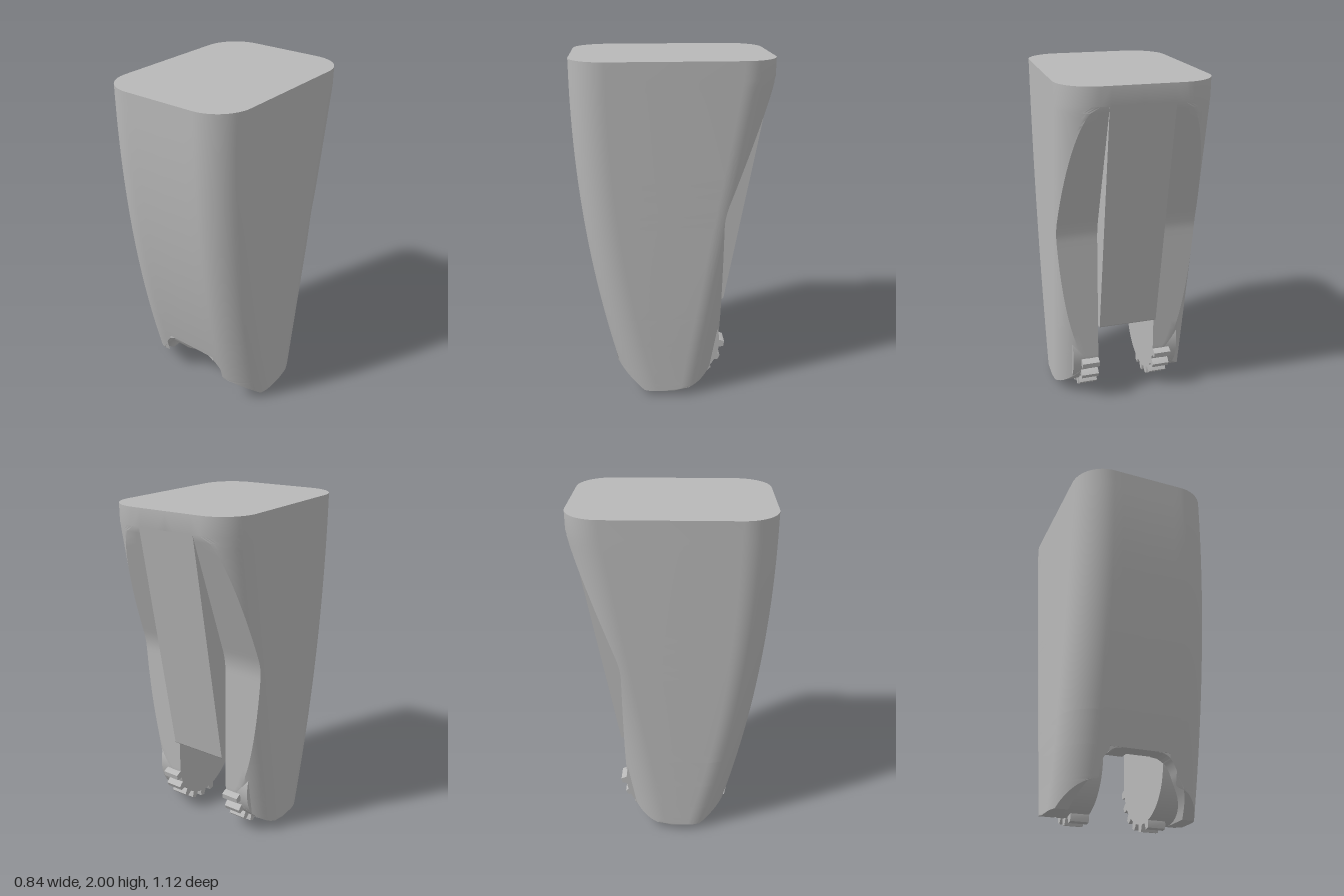
import * as THREE from 'three';
import { mergeGeometries, toCreasedNormals } from 'three/addons/utils/BufferGeometryUtils.js';

const R = 0.2, HALF = 0.42, SLOT = 0.175; // corner radius, half width, half slot
const AXLE = 0.315, WHEEL = 0.28;         // wheel centre height and radius

// Side profile: bowed front, chamfered toe, sloping back and the cut beside the rib
const frontZ = y => 0.56 - 0.075 * Math.max(0, 1.9 - y) ** 2;
const toeZ = y => 0.18 + (y - 0.035) * 1.15;
const backZ = y => -0.56 + 0.174 * Math.max(0, 1.9 - y);
const wheelZ = y => Math.sqrt(Math.max(0, WHEEL ** 2 - (AXLE - y) ** 2));
function cutZ(y) {
  if (y < AXLE) return -wheelZ(y);
  if (y < 1.08) return -WHEEL;
  if (y < 1.21) return -WHEEL - 0.371 * (y - 1.08) ** 2 / 0.26;
  return Math.max(-0.56, -0.56 + 0.371 * (1.9 - y));
}

// Half of one edge of a cross-section: flat, then a rounded corner, clipped at a limit
function edge(inner, face, limit) {
  const centre = face - R;
  const a0 = Math.acos(THREE.MathUtils.clamp((limit - centre) / R, 0, 1));
  const xc = Math.max(inner, HALF - R + R * Math.sin(a0));
  const zc = Math.min(face, limit);
  const pts = [];
  for (let i = 0; i < 4; i++) pts.push([inner + (xc - inner) * i / 4, zc]);
  for (let i = 0; i <= 14; i++) {
    const a = a0 + (Math.PI / 2 - a0) * i / 14;
    pts.push([HALF - R + R * Math.sin(a), Math.min(limit, centre + R * Math.cos(a))]);
  }
  return pts;
}

// Loft one side of the shell through rows of [inner x, y]
function loftSide(rows, side, innerWall) {
  const pos = [];
  const tri = (a, b, c) => (side > 0 ? [a, b, c] : [a, c, b]).forEach(p => pos.push(...p));
  const quad = (a, b, c, d) => { tri(a, b, c); tri(a, c, d); };
  const loops = rows.map(([inner, y]) => {
    const front = edge(inner, frontZ(y), toeZ(y));
    const back = edge(inner, -backZ(y), -cutZ(y)).map(([x, z]) => [x, -z]).reverse();
    return [...front, ...back].map(([x, z]) => [side * x, y, z]);
  });
  const n = loops[0].length;
  for (let j = 0; j < loops.length - 1; j++) {
    for (let i = 0; i < (innerWall ? n : n - 1); i++) {
      const k = (i + 1) % n;
      quad(loops[j][i], loops[j][k], loops[j + 1][k], loops[j + 1][i]);
    }
  }
  const lo = loops[0], hi = loops[loops.length - 1];
  for (let i = 0; i < n / 2 - 1; i++) {
    quad(hi[i], hi[i + 1], hi[n - 2 - i], hi[n - 1 - i]);
    quad(lo[n - 1 - i], lo[n - 2 - i], lo[i + 1], lo[i]);
  }
  const g = new THREE.BufferGeometry();
  g.setAttribute('position', new THREE.Float32BufferAttribute(pos, 3));
  return g;
}

const loft = (rows, innerWall) => toCreasedNormals(
  mergeGeometries([1, -1].map(s => loftSide(rows, s, innerWall))), 0.5);

// Extrude a [z, y] outline along x
function extrudeX(points, x0, x1) {
  const shape = new THREE.Shape(points.map(([z, y]) => new THREE.Vector2(-z, y)));
  const g = new THREE.ExtrudeGeometry(shape, { depth: x1 - x0, bevelEnabled: false });
  return toCreasedNormals(g.rotateY(Math.PI / 2).translate(x0, 0, 0), 0.5);
}

const span = (a, b, n) => Array.from({ length: n + 1 }, (_, i) => a + (b - a) * i / n);

export function createModel() {
  const model = new THREE.Group();
  model.name = 'taperedHousing';
  const grey = new THREE.MeshStandardMaterial({ color: 0xb8b8b8 });
  grey.name = 'plain grey';
  const add = (name, geometry) => {
    const mesh = new THREE.Mesh(geometry, grey);
    mesh.name = name;
    model.add(mesh);
    return mesh;
  };

  // Main shell, then the two sides around the wheel cavity
  const upper = [...span(0.52, 1.08, 10), ...span(1.1, 1.21, 6), ...span(1.24, 1.9, 20), 2];
  add('upperBody', loft(upper.map(y => [0, y]), false));
  add('bodySides', loft(span(0.34, 0.52, 4).map(y => [SLOT, y]), true));

  // Legs flare apart towards the floor in a bell-shaped arch
  const bell = new THREE.CatmullRomCurve3([
    [0.33, 0.035], [0.312, 0.09], [0.29, 0.135], [0.268, 0.17], [0.235, 0.22],
    [0.21, 0.27], [0.18, 0.31], [0.14, 0.335], [0.1, 0.34],
  ].map(([x, y]) => new THREE.Vector3(x, y, 0)));
  const legRows = bell.getPoints(32).map(p => [Math.max(p.x, SLOT), Math.min(p.y, 0.34)]);
  add('legs', loft(legRows, true));

  // Front wall of the wheel cavity and the rounded corners of the arch
  const ys = span(0.34, 0.52, 8);
  add('archWall', extrudeX([
    ...ys.map(y => [frontZ(y), y]),
    ...ys.slice().reverse().map(y => [wheelZ(y), y]),
  ], -SLOT, SLOT));
  for (const s of [1, -1]) {
    const corner = new THREE.Shape([[0.1, 0.34], [0.14, 0.335], [0.16, 0.325], [SLOT, 0.313], [SLOT, 0.34]]
      .map(([x, y]) => new THREE.Vector2(s * x, y)));
    add('archCorner', new THREE.ExtrudeGeometry(corner, { depth: 0.1, bevelEnabled: false }).translate(0, 0, 0.274));
  }

  // Raised rib down the back
  add('backRib', extrudeX([[-0.27, 0.52], [-0.31, 0.52], [-0.32, 0.53], [-0.56, 1.9], [-0.27, 1.9]], -SLOT, SLOT));

  // Wheel discs with a run of teeth under and behind
  for (const s of [1, -1]) {
    const disc = add('wheelDisc', new THREE.CylinderGeometry(WHEEL - 0.001, WHEEL - 0.001, 0.155, 64));
    disc.rotation.z = Math.PI / 2;
    disc.position.set(s * (SLOT + 0.0775), AXLE, 0);
    for (let i = 0; i < 6; i++) {
      const x0 = s > 0 ? SLOT : -0.28;
      const tooth = add('tooth', extrudeX(
        [[-0.024, -0.265], [-0.024, -0.29], [-0.016, -0.318], [0.016, -0.318], [0.024, -0.29], [0.024, -0.265]],
        x0, x0 + 0.105));
      tooth.position.y = AXLE;
      tooth.rotation.x = THREE.MathUtils.degToRad(18 * i - 9);
    }
  }
  return model;
}
